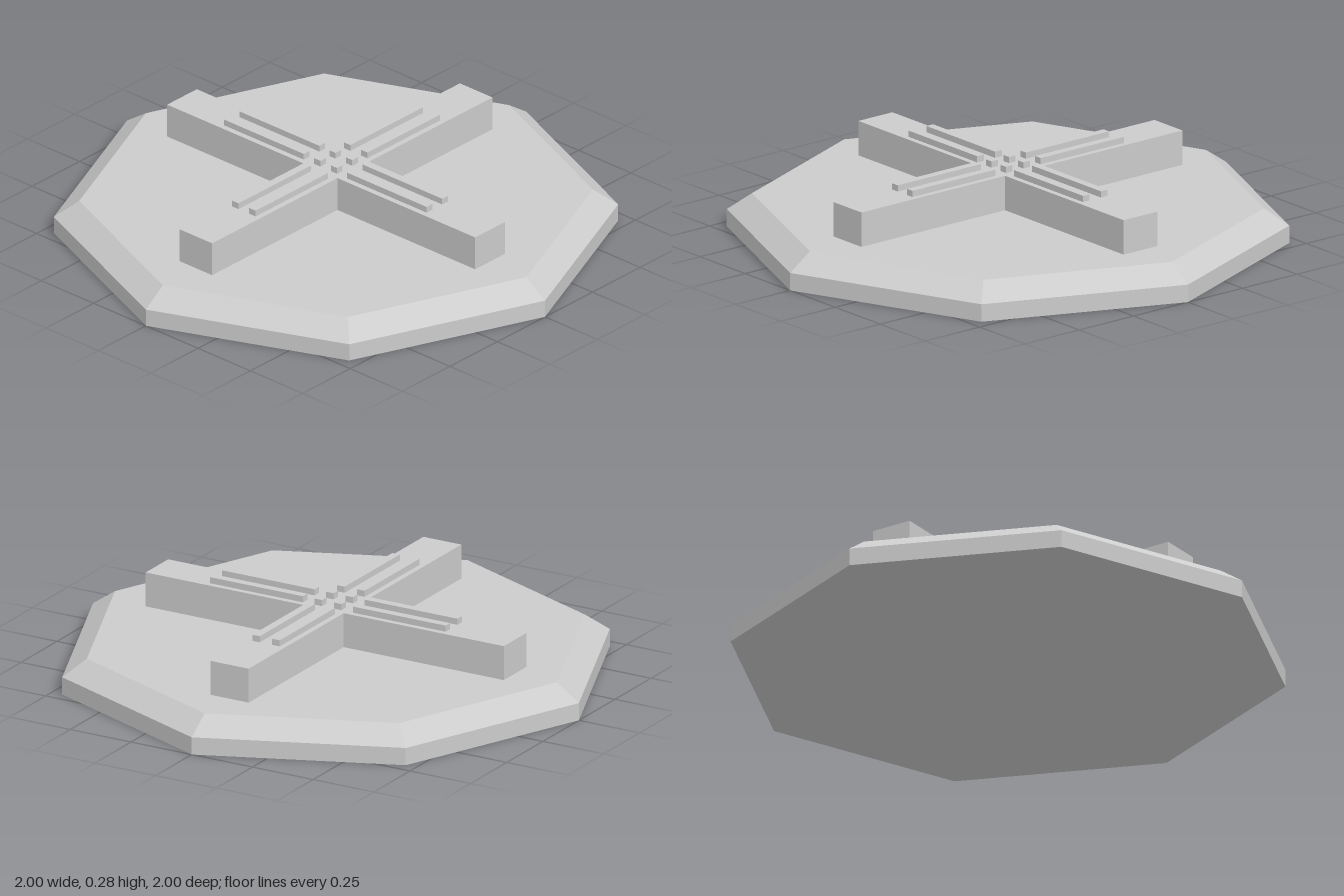
import * as THREE from 'three';

const material = new THREE.MeshStandardMaterial({ color: 0xcccccc, flatShading: true, });

const PLATE_TOP = 0.127;
const CROSS_TOP = 0.255;
const RIB_TOP = 0.278;

function addMesh(parent, name, geometry) {
  const mesh = new THREE.Mesh(geometry, material);
  mesh.name = name;
  parent.add(mesh);
  return mesh;
}

export function createModel() {
  const model = new THREE.Group();
  model.name = 'octagonalBaseWithCross';

  // Eight-sided plate with a bevelled upper rim
  const profile = [[0, 0], [1, 0], [1, 0.065], [0.91, PLATE_TOP], [0, PLATE_TOP]]
    .map(([r, y]) => new THREE.Vector2(r, y));
  addMesh(model, 'basePlate', new THREE.LatheGeometry(profile, 8));

  // Raised plus-shaped block
  const w = 0.078, l = 0.737;
  const outline = [
    [l, -w], [l, w], [w, w], [w, l], [-w, l], [-w, w],
    [-l, w], [-l, -w], [-w, -w], [-w, -l], [w, -l], [w, -w],
  ].map(([x, y]) => new THREE.Vector2(x, y));
  const crossGeometry = new THREE.ExtrudeGeometry(new THREE.Shape(outline), {
    depth: CROSS_TOP - PLATE_TOP, bevelEnabled: false,
  });
  crossGeometry.rotateX(-Math.PI / 2);
  addMesh(model, 'cross', crossGeometry).position.y = PLATE_TOP;

  // Paired ribs along each arm, with one small stud per quadrant at the centre
  const ribHeight = RIB_TOP - CROSS_TOP;
  const ribY = (RIB_TOP + CROSS_TOP) / 2;
  const ribGeometry = new THREE.BoxGeometry(0.382, ribHeight, 0.031);
  const studGeometry = new THREE.BoxGeometry(0.03, ribHeight, 0.03);
  for (let i = 0; i < 4; i++) {
    const arm = new THREE.Group();
    arm.name = 'armDetail';
    arm.rotation.y = i * Math.PI / 2;
    for (const side of [-1, 1]) {
      addMesh(arm, 'rib', ribGeometry).position.set(0.294, ribY, side * 0.041);
    }
    addMesh(arm, 'stud', studGeometry).position.set(0.04, ribY, 0.04);
    model.add(arm);
  }

  return model;
}
